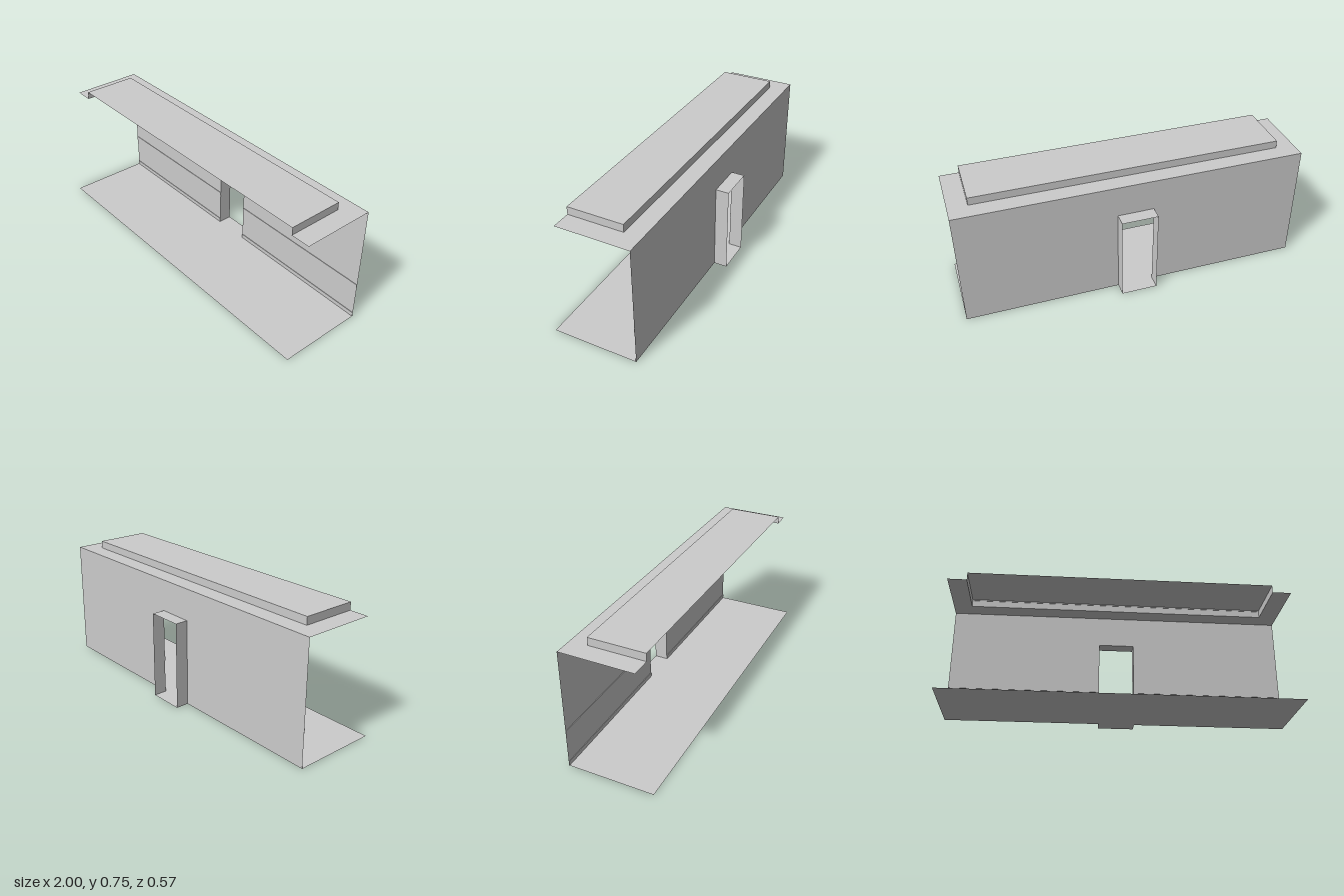
import * as THREE from 'three';

const WALL_Z = -0.21, BACK_Z = -0.288, FRONT_Z = 0.285, CEIL_Z = 0.21;
const HEIGHT = 0.7, TOP = 0.745, DOOR_X = 0.105, DOOR_H = 0.515;
const COVE_X = 0.89, COVE_Z = -0.11;

const grey = new THREE.MeshStandardMaterial({ color: 0xcccccc, side: THREE.DoubleSide, flatShading: true });

function add(parent, name, geometry, x = 0, y = 0, z = 0) {
  const mesh = new THREE.Mesh(geometry, grey);
  mesh.name = name;
  mesh.position.set(x, y, z);
  parent.add(mesh);
  return mesh;
}

// Flat sheet from an outline of [x, y] corners
const sheet = (points) => new THREE.ShapeGeometry(new THREE.Shape(points.map(([x, y]) => new THREE.Vector2(x, y))));

// Horizontal sheet facing up, from an outline of [x, z] corners
const level = (points) => sheet(points.map(([x, z]) => [x, -z])).rotateX(-Math.PI / 2);

// Upright sheet facing along x, spanning z0..z1 and y0..y1
const side = (z0, z1, y0, y1) =>
  new THREE.PlaneGeometry(z1 - z0, y1 - y0).rotateY(Math.PI / 2).translate(0, (y0 + y1) / 2, (z0 + z1) / 2);

export function createModel() {
  const model = new THREE.Group();
  model.name = 'corridorSection';

  // Floor, running on into the doorway
  add(model, 'floor', level([
    [-1, FRONT_Z], [1, FRONT_Z], [1, WALL_Z], [DOOR_X, WALL_Z], [DOOR_X, BACK_Z],
    [-DOOR_X, BACK_Z], [-DOOR_X, WALL_Z], [-1, WALL_Z],
  ]));

  // Wall with the door opening
  add(model, 'wall', sheet([
    [-1, 0], [-DOOR_X, 0], [-DOOR_X, DOOR_H], [DOOR_X, DOOR_H],
    [DOOR_X, 0], [1, 0], [1, HEIGHT], [-1, HEIGHT],
  ]), 0, 0, WALL_Z);

  // Door lining behind the wall
  const lining = new THREE.Group();
  lining.name = 'doorLining';
  model.add(lining);
  add(lining, 'doorHead', level([
    [-DOOR_X, WALL_Z], [DOOR_X, WALL_Z], [DOOR_X, BACK_Z], [-DOOR_X, BACK_Z],
  ]), 0, DOOR_H);

  // Jambs, and the thin skirting and rail on each side of the door
  const trimLength = 1 - DOOR_X, depth = 0.003;
  for (const s of [-1, 1]) {
    const label = s > 0 ? 'left' : 'right';
    add(lining, label + 'Jamb', side(BACK_Z, WALL_Z, 0, DOOR_H), s * DOOR_X);
    const x = s * (DOOR_X + trimLength / 2), z = WALL_Z + depth / 2;
    add(model, label + 'Skirting', new THREE.BoxGeometry(trimLength, 0.025, depth), x, 0.0125, z);
    add(model, label + 'Rail', new THREE.BoxGeometry(trimLength, 0.025, depth), x, 0.2125, z);
  }

  // Ceiling border around the raised recess, open to the front
  add(model, 'ceilingBorder', level([
    [-1, CEIL_Z], [-COVE_X, CEIL_Z], [-COVE_X, COVE_Z], [COVE_X, COVE_Z],
    [COVE_X, CEIL_Z], [1, CEIL_Z], [1, WALL_Z], [-1, WALL_Z],
  ]), 0, HEIGHT);

  // Raised recess: top, back and two ends
  const recess = new THREE.Group();
  recess.name = 'ceilingRecess';
  model.add(recess);
  add(recess, 'recessTop', level([
    [-COVE_X, CEIL_Z], [COVE_X, CEIL_Z], [COVE_X, COVE_Z], [-COVE_X, COVE_Z],
  ]), 0, TOP);
  add(recess, 'recessBack', new THREE.PlaneGeometry(2 * COVE_X, TOP - HEIGHT), 0, (TOP + HEIGHT) / 2, COVE_Z);
  for (const s of [-1, 1]) {
    add(recess, s > 0 ? 'leftEnd' : 'rightEnd', side(COVE_Z, CEIL_Z, HEIGHT, TOP), s * COVE_X);
  }
  add(recess, 'recessTrim', new THREE.BoxGeometry(2 * COVE_X, 0.006, depth), 0, TOP - 0.003, COVE_Z + depth / 2);

  return model;
}
